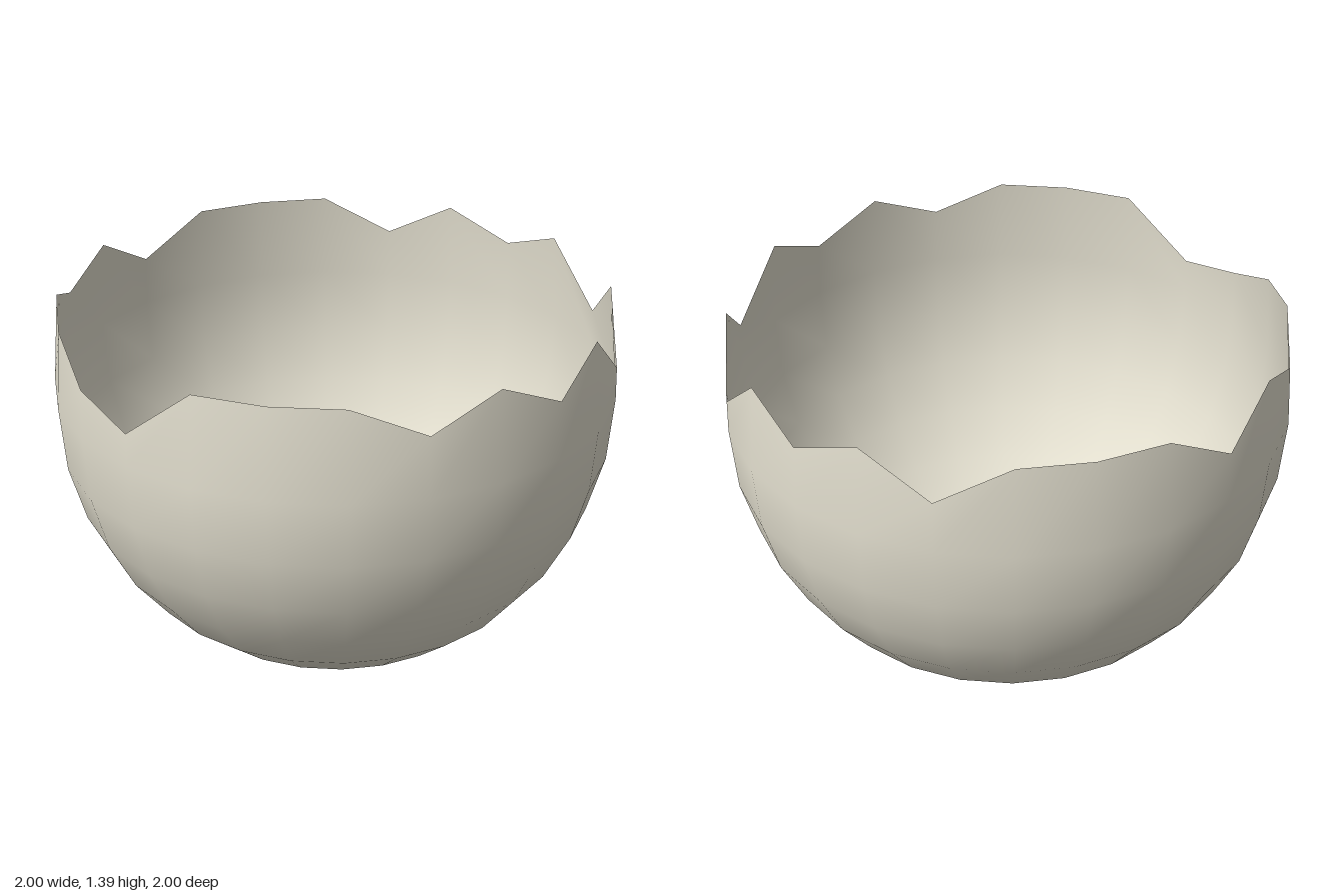
import * as THREE from 'three';

const SIDES = 24;

// Radius and height of each ring, from just above the base to the widest belt
const PROFILE = [
  [0.195, 0.022], [0.383, 0.08], [0.556, 0.173], [0.707, 0.297],
  [0.831, 0.452], [0.924, 0.632], [0.981, 0.835], [1, 1.07],
];

// Height of the broken rim at each side, going from +x towards +z
const RIM = [
  1.19, 1.39, 1.19, 1.39, 1.275, 1.39, 1.285, 1.39,
  1.39, 1.39, 1.19, 1.25, 1.355, 1.39, 1.295, 1.39,
  1.25, 1.39, 1.39, 1.39, 1.255, 1.39, 1.295, 1.39,
];

function shellGeometry() {
  const positions = [0, 0, 0];
  const index = [];
  const addPoint = (side, r, y) => {
    const a = (side / SIDES) * Math.PI * 2;
    positions.push(r * Math.cos(a), y, r * Math.sin(a));
  };

  // Regular rings of the bowl
  for (const [r, y] of PROFILE) {
    for (let i = 0; i < SIDES; i++) addPoint(i, r, y);
  }
  // Jagged rim, curving inwards as it rises
  RIM.forEach((y, i) => addPoint(i, 1 - 0.26 * (y - 1.07) ** 2, y));

  const at = (ring, i) => 1 + ring * SIDES + (i % SIDES);
  for (let i = 0; i < SIDES; i++) {
    index.push(0, at(0, i), at(0, i + 1));
    for (let ring = 0; ring < PROFILE.length; ring++) {
      const a = at(ring, i), b = at(ring + 1, i);
      const c = at(ring + 1, i + 1), d = at(ring, i + 1);
      index.push(a, b, d, b, c, d);
    }
  }

  const geometry = new THREE.BufferGeometry();
  geometry.setAttribute('position', new THREE.Float32BufferAttribute(positions, 3));
  geometry.setIndex(index);
  geometry.computeVertexNormals();
  return geometry;
}

export function createModel() {
  const group = new THREE.Group();
  group.name = 'brokenEggshell';

  const shellMaterial = new THREE.MeshStandardMaterial({ color: 0xe3dfcf, side: THREE.DoubleSide });
  shellMaterial.name = 'eggshell cream';

  const shell = new THREE.Mesh(shellGeometry(), shellMaterial);
  shell.name = 'shell';
  group.add(shell);
  return group;
}
